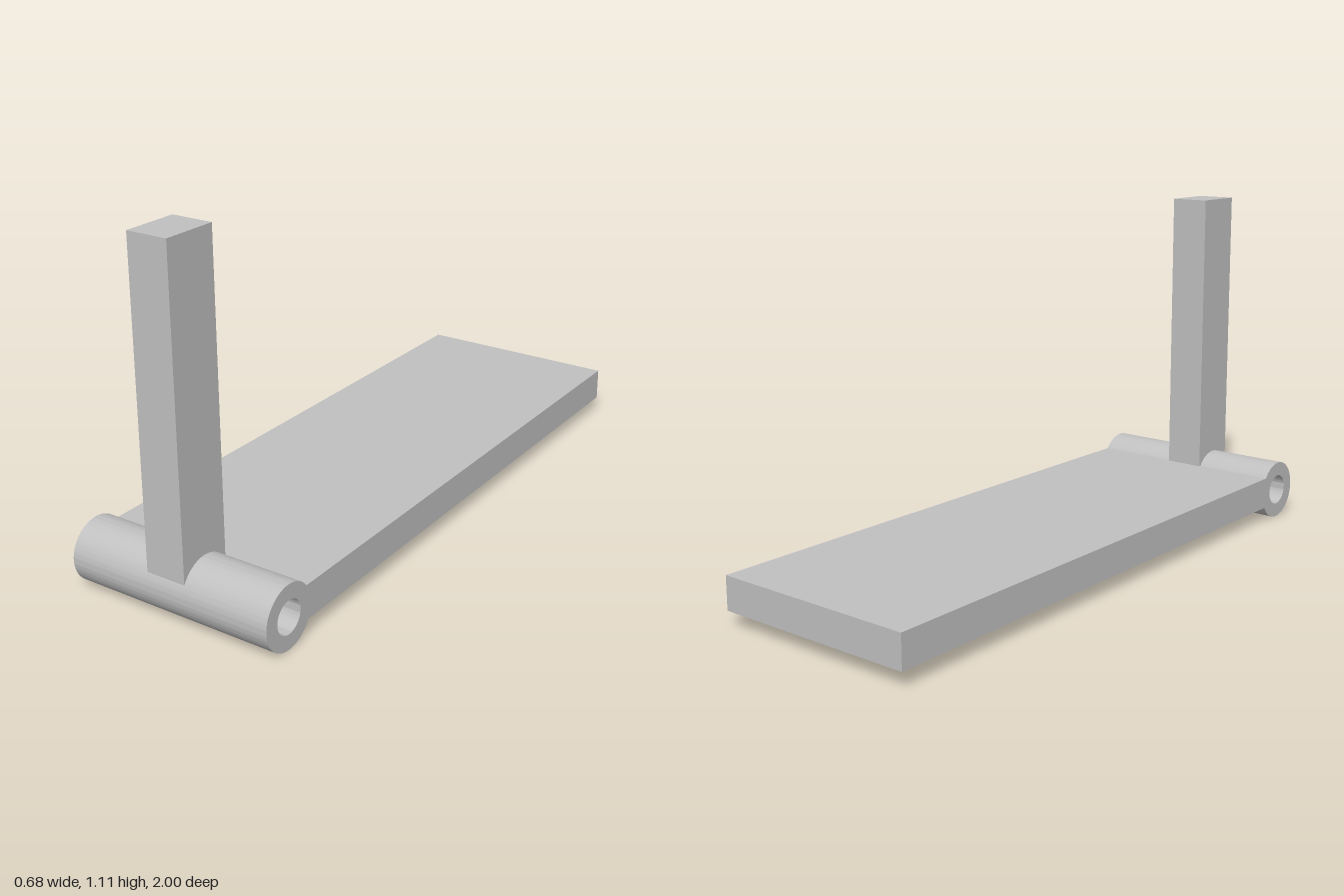
import * as THREE from 'three';
import { toCreasedNormals } from 'three/addons/utils/BufferGeometryUtils.js';

const WIDTH = 0.684, OUTER = 0.098, INNER = 0.051;
const AXIS_Y = 0.098, AXIS_Z = 0.902;

// Extrudes a side profile across x, centred on the given x
function sideExtrude(shape, width, x) {
  const g = new THREE.ExtrudeGeometry(shape, { depth: width, bevelEnabled: false, curveSegments: 48 });
  g.translate(0, 0, -width / 2);
  g.rotateY(Math.PI / 2);
  g.translate(x, 0, 0);
  return toCreasedNormals(g, 0.5);
}

export function createModel() {
  const model = new THREE.Group();
  const grey = new THREE.MeshStandardMaterial({ color: 0xc0c0c0 });
  grey.name = 'grey';

  const add = (name, geometry, y, z) => {
    const mesh = new THREE.Mesh(geometry, grey);
    mesh.name = name;
    mesh.position.set(0, y, z);
    model.add(mesh);
  };

  // Hinge barrel with a through bore
  const ring = new THREE.Shape().absarc(0, 0, OUTER, 0, Math.PI * 2, false);
  ring.holes.push(new THREE.Path().absarc(0, 0, INNER, 0, Math.PI * 2, true));
  add('hingeBarrel', sideExtrude(ring, WIDTH, 0), AXIS_Y, AXIS_Z);

  // Flat leaf, its front edge buried in the barrel wall
  const front = 0.834, back = -1;
  add('leafPlate', new THREE.BoxGeometry(WIDTH, 0.106, front - back), 0.102, (front + back) / 2);

  // Upright post, hollowed underneath to sit on the barrel
  const half = 0.087, seat = 0.095, top = 1.11 - AXIS_Y;
  const a = Math.acos(half / seat);
  const post = new THREE.Shape();
  post.moveTo(half, top);
  post.lineTo(-half, top);
  post.lineTo(-half, Math.sin(a) * seat);
  post.absarc(0, 0, seat, Math.PI - a, a, true);
  post.closePath();
  add('uprightPost', sideExtrude(post, 0.131, -0.006), AXIS_Y, AXIS_Z);

  return model;
}
